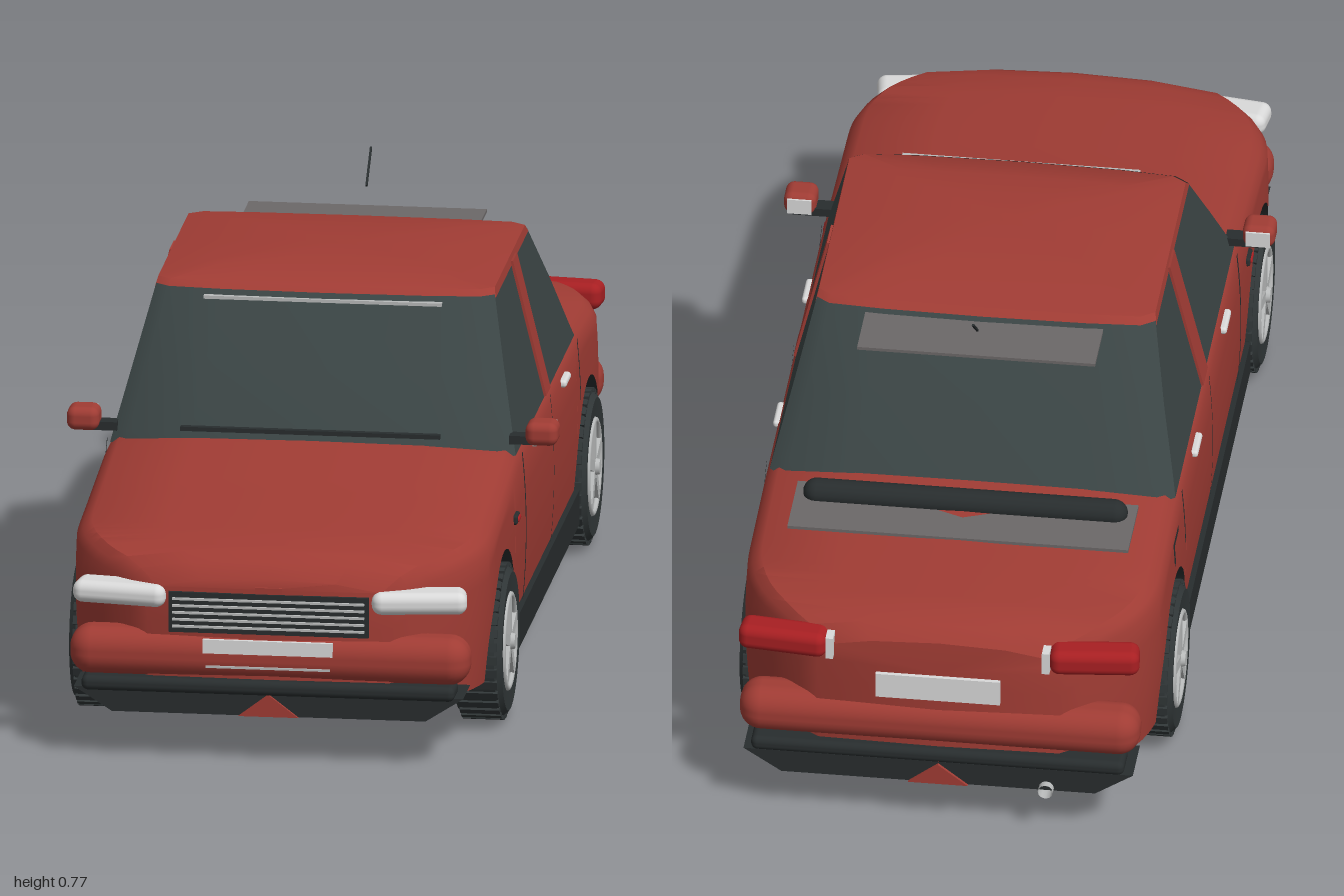
import * as THREE from 'three';
import { toCreasedNormals } from 'three/addons/utils/BufferGeometryUtils.js';
import { RoundedBoxGeometry } from 'three/addons/geometries/RoundedBoxGeometry.js';

const mat = (name, color, side = THREE.DoubleSide) => {
  const m = new THREE.MeshStandardMaterial({ color, side });
  m.name = name;
  return m;
};
const red = mat('body red', 0xa03c34), glass = mat('tinted glass', 0x3a4444), dark = mat('dark trim', 0x282d2e);
const tyreMat = mat('tyre rubber', 0x303637), white = mat('pale lens', 0xdadada), silver = mat('silver', 0xb8baba);
const grey = mat('shelf grey', 0x6c6868), lamp = mat('tail lamp red', 0xa81f22);

// Piecewise-linear lookup
const lookup = (pts, v) => {
  if (v <= pts[0][0]) return pts[0][1];
  for (let i = 1; i < pts.length; i++) {
    const [a, fa] = pts[i - 1], [b, fb] = pts[i];
    if (v <= b) return fa + (fb - fa) * (v - a) / (b - a);
  }
  return pts[pts.length - 1][1];
};
const TOP = [[-0.98, 0.385], [-0.96, 0.415], [-0.9, 0.43], [-0.7, 0.44], [-0.5, 0.452], [0.36, 0.455],
  [0.6, 0.427], [0.85, 0.402], [0.93, 0.388], [0.965, 0.365], [0.98, 0.34]];
const AXLES = [0.61, -0.6], ARCH = 0.165;
const topY = z => lookup(TOP, z);
const halfW = z => 0.388 * (1 - 0.42 * Math.pow(Math.max(0, (Math.abs(z) - 0.7) / 0.275), 2.6));
const sideX = (y, z) => halfW(z) * (1 - 0.9 * (y - 0.28) ** 2);
const bottomY = z => {
  for (const c of AXLES) {
    const d = Math.abs(z - c);
    if (d < ARCH) return 0.15 + Math.sqrt(ARCH * ARCH - d * d);
  }
  return 0.112;
};

// Skin between consecutive rings of [x, y, z]
function loft(rings, closed = false, crease = 0.6) {
  const n = rings[0].length, idx = [];
  for (let i = 0; i < rings.length - 1; i++)
    for (let j = 0; j < (closed ? n : n - 1); j++) {
      const a = i * n + j, b = i * n + (j + 1) % n;
      idx.push(a, b, a + n, b, b + n, a + n);
    }
  const g = new THREE.BufferGeometry();
  g.setAttribute('position', new THREE.Float32BufferAttribute(rings.flat(2), 3));
  g.setIndex(idx);
  return toCreasedNormals(g, crease);
}
const mirrorSection = half => [...half, ...half.slice(0, -1).reverse().map(([x, y, z]) => [-x, y, z])];

export function createModel() {
  const car = new THREE.Group();
  car.name = 'car';
  const add = (name, geo, m, x = 0, y = 0, z = 0, parent = car) => {
    const mesh = new THREE.Mesh(geo, m);
    mesh.name = name;
    mesh.position.set(x, y, z);
    parent.add(mesh);
    return mesh;
  };
  const box = (name, m, w, h, d, x, y, z, p) => add(name, new THREE.BoxGeometry(w, h, d), m, x, y, z, p);
  const round = (name, m, w, h, d, x, y, z, r) => add(name, new RoundedBoxGeometry(w, h, d, 4, r), m, x, y, z);

  // Body shell and underside, lofted along z with the wheel arches cut in
  const stations = [];
  for (let i = -39; i <= 39; i++) stations.push(i * 0.025);
  for (const c of AXLES) for (const d of [0.1651, 0.1649, 0.162, 0.155, 0.14]) stations.push(c - d, c + d);
  stations.sort((a, b) => a - b);
  const shell = stations.map(z => {
    const b = bottomY(z), t = topY(z), w = halfW(z), half = [];
    for (let i = 0; i <= 5; i++) {
      const y = b + (t - 0.05 - b) * i / 5;
      half.push([sideX(y, z), y, z]);
    }
    half.push([w * 0.965, t - 0.033, z], [w * 0.92, t - 0.019, z], [w * 0.55, t - 0.005, z], [0, t, z]);
    return mirrorSection(half);
  });
  const floor = stations.map(z => {
    const b = bottomY(z), w = sideX(b, z), inner = Math.min(0.28, w * 0.9);
    return mirrorSection([[w, b, z], [inner, b, z], [inner, 0.092, z], [0, 0.092, z]]);
  });
  const cap = rings => {
    const end = (r, z) => r.map(([, y]) => [0, Math.min(y, 0.33), z]);
    return [end(rings[0], -0.98), ...rings, end(rings[rings.length - 1], 0.98)];
  };
  add('bodyShell', loft(cap(shell)), red);
  add('underbody', loft(cap(floor)), dark);

  // Glasshouse and roof, lofted upwards
  const ring = (y, w, front, rear, bow) => {
    const half = [[0, front + bow], [0.6, front + bow * 0.75], [0.92, front + bow * 0.2], [1, front - 0.015],
      [1, front * 0.5 + rear * 0.5], [1, rear + 0.015], [0.92, rear - bow * 0.2], [0.6, rear - bow * 0.6], [0, rear - bow * 0.8]];
    return [...half, ...half.slice(1, -1).reverse().map(([x, z]) => [-x, z])].map(([x, z]) => [x * w, y, z]);
  };
  add('glasshouse', loft([ring(0.425, 0.375, 0.36, -0.505, 0.045), ring(0.45, 0.369, 0.345, -0.485, 0.045),
    ring(0.56, 0.342, 0.268, -0.41, 0.035), ring(0.68, 0.313, 0.18, -0.31, 0.015)], true), glass);
  add('roof', loft([ring(0.674, 0.315, 0.184, -0.314, 0.014), ring(0.69, 0.311, 0.165, -0.296, 0.014),
    ring(0.705, 0.22, 0.1, -0.22, 0.01), ring(0.712, 0.1, 0.03, -0.12, 0.01), ring(0.714, 0, -0.04, -0.04, 0)], true, 0.5), red);
  box('roofFrontStrip', silver, 0.44, 0.006, 0.012, 0, 0.668, 0.203);
  box('rearShade', grey, 0.44, 0.006, 0.13, 0, 0.67, -0.375);
  box('wiper', dark, 0.48, 0.008, 0.012, 0, 0.466, 0.382);
  const antenna = box('antenna', dark, 0.004, 0.004, 0.086, 0, 0.743, -0.453);
  antenna.rotation.x = Math.atan2(0.055, 0.065);

  // Boot deck plate and padded bar
  box('deckPlate', grey, 0.63, 0.006, 0.15, 0, 0.441, -0.627);
  const bar = add('deckBar', new THREE.CapsuleGeometry(0.025, 0.55, 6, 14), dark, 0, 0.45, -0.59);
  bar.rotation.z = Math.PI / 2;

  // Thin strip following the curved flank
  const flank = (name, m, s, z0, z1, y0, y1, off = 0.003) => {
    const rings = [];
    for (let i = 0; i <= 8; i++) {
      const y = y0 + (y1 - y0) * i / 8;
      rings.push([z0, z1].map(z => [s * (sideX(y, z) + off), y, z]));
    }
    add(name, loft(rings), m);
  };
  for (const s of [1, -1]) {
    const pillar = box('doorPillar', red, 0.008, 0.262, 0.06, s * 0.3445, 0.554, -0.09);
    pillar.rotation.z = s * 0.238;
    flank('frontDoorGap', dark, s, 0.314, 0.324, 0.14, 0.425);
    flank('middleDoorGap', dark, s, -0.082, -0.078, 0.14, 0.425);
    flank('rearDoorGap', dark, s, -0.468, -0.46, 0.31, 0.425);
    box('sill', dark, 0.035, 0.065, 0.89, s * 0.374, 0.113, 0.005);
    box('sillRail', dark, 0.04, 0.026, 0.93, s * 0.33, 0.082, 0.005);
    for (const z of [0.135, -0.275]) round('doorHandle', white, 0.016, 0.014, 0.07, s * 0.385, 0.4, z, 0.006);
    round('sideMarker', dark, 0.012, 0.018, 0.04, s * 0.388, 0.335, 0.447, 0.005);
    round('sideMarkerLens', lamp, 0.014, 0.011, 0.03, s * 0.39, 0.335, 0.447, 0.005);
    // Door mirror
    round('mirrorHousing', red, 0.06, 0.044, 0.06, s * 0.424, 0.47, 0.337, 0.016);
    box('mirrorArm', dark, 0.075, 0.016, 0.03, s * 0.4, 0.454, 0.33);
    box('mirrorGlass', white, 0.045, 0.03, 0.004, s * 0.424, 0.47, 0.306);
    // Lamps
    const head = round('headlight', white, 0.175, 0.042, 0.07, s * 0.275, 0.311, 0.95, 0.018);
    head.rotation.y = s * 0.14;
    const tail = round('tailLight', lamp, 0.165, 0.05, 0.06, s * 0.287, 0.375, -0.96, 0.018);
    tail.rotation.y = -s * 0.1;
    box('reverseLight', white, 0.014, 0.044, 0.03, s * 0.2, 0.375, -0.977);
  }
  flank('fuelFlapEdge', dark, -1, -0.6, -0.53, 0.345, 0.392, 0.002);
  flank('fuelFlap', red, -1, -0.597, -0.533, 0.348, 0.389, 0.004);

  // Bumpers, lower lips and number plates at both ends
  const lip = new THREE.Shape([[-0.36, 0.135], [-0.29, 0.09], [0.29, 0.09], [0.36, 0.135]].map(p => new THREE.Vector2(...p)));
  const wedge = new THREE.Shape([[-0.055, 0.09], [0.055, 0.09], [0, 0.132]].map(p => new THREE.Vector2(...p)));
  for (const s of [1, -1]) {
    round('bumper', red, 0.74, 0.09, 0.095, 0, s > 0 ? 0.2 : 0.215, s * 0.945, 0.04);
    round('bumperStrip', dark, 0.69, 0.028, 0.07, 0, s > 0 ? 0.145 : 0.155, s * 0.962, 0.012);
    add('lowerLip', new THREE.ExtrudeGeometry(lip, { depth: 0.1, bevelEnabled: false }), dark, 0, 0, s > 0 ? 0.88 : -0.98);
    add('lipWedge', new THREE.ExtrudeGeometry(wedge, { depth: 0.006, bevelEnabled: false }), red, 0, 0, s > 0 ? 0.98 : -0.986);
  }
  box('frontPlate', white, 0.24, 0.026, 0.008, 0, 0.223, 0.993);
  box('frontBumperLine', silver, 0.23, 0.004, 0.006, 0, 0.184, 0.992);
  box('rearPlate', white, 0.23, 0.05, 0.008, 0, 0.3, -0.985);

  // Grille
  box('grille', dark, 0.37, 0.076, 0.04, 0, 0.283, 0.963);
  for (let i = 0; i < 5; i++) box('grilleSlat', silver, 0.355, 0.004, 0.008, 0, 0.257 + i * 0.013, 0.984);
  box('bonnetCatch', red, 0.05, 0.012, 0.03, 0, 0.328, 0.968);

  // Tank, exhaust and silencer under the floor
  box('fuelTank', dark, 0.325, 0.035, 0.33, 0.117, 0.079, -0.29);
  const pipePath = new THREE.CatmullRomCurve3([[-0.12, 0.088, 0.45], [-0.13, 0.085, -0.3], [-0.18, 0.088, -0.6], [-0.2, 0.1, -0.97]]
    .map(p => new THREE.Vector3(...p)));
  add('exhaustPipe', new THREE.TubeGeometry(pipePath, 24, 0.012, 8), dark);
  const silencer = add('silencer', new THREE.CapsuleGeometry(0.024, 0.2, 4, 12), dark, -0.155, 0.082, -0.4);
  silencer.rotation.x = Math.PI / 2;
  const tip = add('exhaustTip', new THREE.CylinderGeometry(0.014, 0.014, 0.05, 12, 1, true), silver, -0.2, 0.095, -0.97);
  tip.rotation.x = Math.PI / 2;

  // Wheels: outer face on +x, turned round for the other side
  const profile = [[0.08, -0.045], [0.128, -0.045], [0.141, -0.032], [0.141, 0.032], [0.128, 0.045], [0.092, 0.042], [0.086, 0.025]];
  const tyreGeo = toCreasedNormals(new THREE.LatheGeometry(profile.map(p => new THREE.Vector2(...p)), 40), 0.5).rotateZ(-Math.PI / 2);
  const discGeo = new THREE.CylinderGeometry(0.09, 0.09, 0.05, 32).rotateZ(-Math.PI / 2);
  const rimGeo = new THREE.TorusGeometry(0.086, 0.006, 8, 36).rotateY(Math.PI / 2);
  const hubGeo = new THREE.CylinderGeometry(0.014, 0.02, 0.028, 16).rotateZ(-Math.PI / 2);
  for (const s of [1, -1]) for (const z of AXLES) {
    const wheel = new THREE.Group();
    wheel.name = 'wheel';
    wheel.position.set(s * 0.355, 0.146, z);
    wheel.rotation.y = s > 0 ? 0 : Math.PI;
    car.add(wheel);
    add('tyre', tyreGeo, tyreMat, 0, 0, 0, wheel);
    add('wheelDisc', discGeo, dark, 0, 0, 0, wheel);
    add('rim', rimGeo, silver, 0.041, 0, 0, wheel);
    add('hub', hubGeo, silver, 0.04, 0, 0, wheel);
    for (let i = 0; i < 36; i++) {
      const a = i / 36 * Math.PI * 2;
      const block = box('tread', tyreMat, 0.074, 0.008, 0.016, 0, Math.cos(a) * 0.141, Math.sin(a) * 0.141, wheel);
      block.rotation.x = a;
    }
    for (let i = 0; i < 5; i++) {
      const a = i / 5 * Math.PI * 2;
      const spoke = box('spoke', silver, 0.02, 0.08, 0.02, 0.036, Math.cos(a) * 0.046, Math.sin(a) * 0.046, wheel);
      spoke.rotation.x = a;
    }
  }
  return car;
}
